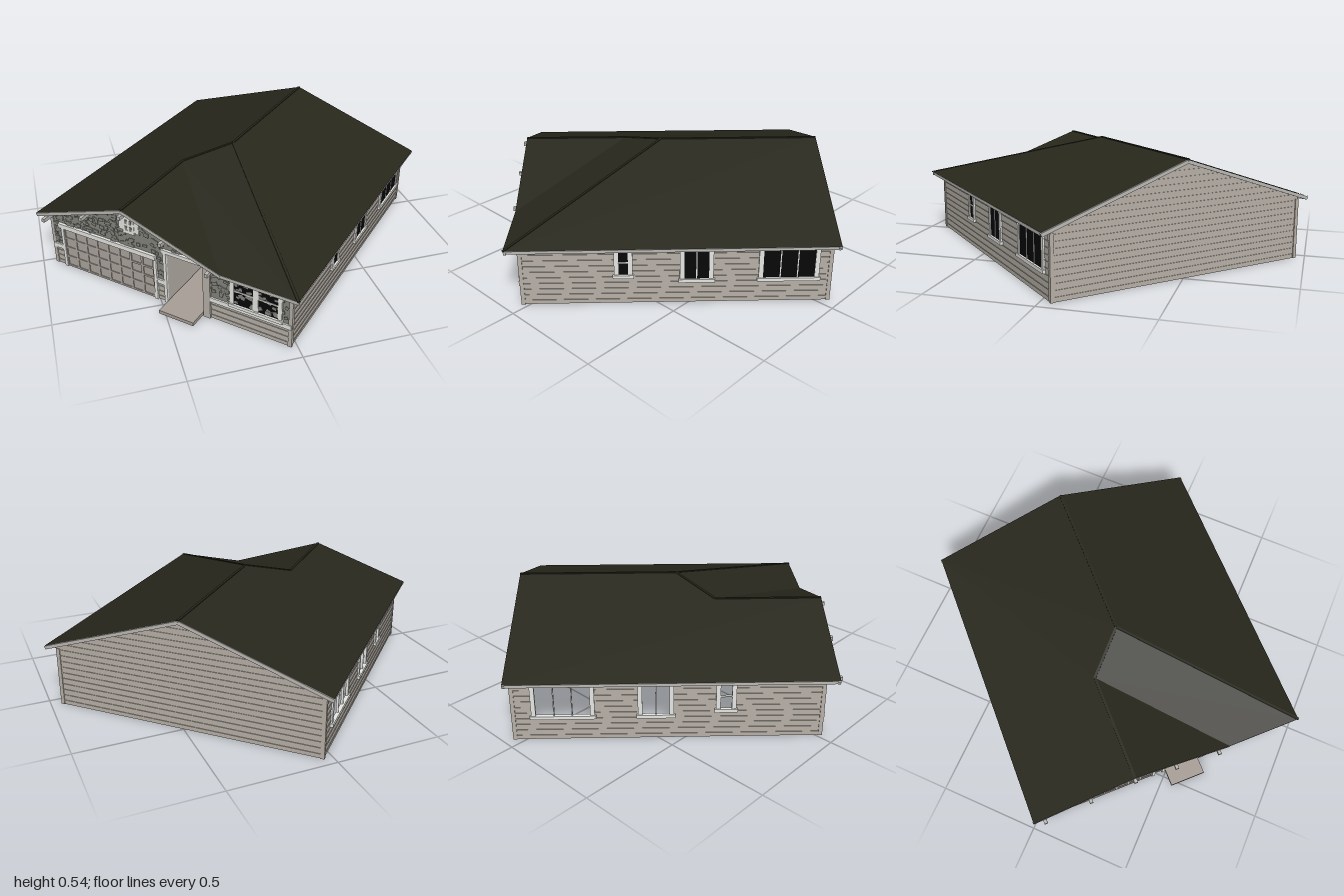
import * as THREE from 'three';
import { mergeGeometries } from 'three/addons/utils/BufferGeometryUtils.js';

const mat = (name, color, double) => {
  const m = new THREE.MeshStandardMaterial({ color });
  m.name = name;
  if (double) m.side = THREE.DoubleSide;
  return m;
};

const XL = -0.645, XR = 0.635, ZB = -0.705, ZF = 0.675;      // wall planes
const RX = 0.684, RZ = 0.73;                                 // roof half sizes
const EAVE = 0.303, RIDGE = 0.535, GABLE = 0.472, GX = -0.18; // roof heights, front gable axis

export function createModel() {
  const M = {
    roof: mat('dark shingle', 0x28271c, true),
    siding: mat('warm grey siding', 0xb8b1a8, true),
    stone: mat('grey stone', 0x85857e, true),
    fascia: mat('light grey fascia', 0xbdbab6),
    trim: mat('white trim', 0xf0f0ed),
    door: mat('taupe door', 0xaea69f),
    glass: mat('black glass', 0x070708),
    concrete: mat('concrete', 0xa89f97),
  };
  const house = new THREE.Group();
  house.name = 'house';
  house.rotation.y = -Math.PI / 4;

  const add = (parent, name, geo, m) => {
    const mesh = new THREE.Mesh(geo, m);
    mesh.name = name;
    parent.add(mesh);
    return mesh;
  };
  // box given by its minimum and maximum corners
  const box = (x0, x1, y0, y1, z0, z1) =>
    new THREE.BoxGeometry(x1 - x0, y1 - y0, z1 - z0).translate((x0 + x1) / 2, (y0 + y1) / 2, (z0 + z1) / 2);
  const poly = (pts, holes = []) => {
    const s = new THREE.Shape(pts.map(p => new THREE.Vector2(...p)));
    for (const [x0, x1, y0, y1] of holes)
      s.holes.push(new THREE.Path([[x0, y0], [x0, y1], [x1, y1], [x1, y0]].map(p => new THREE.Vector2(...p))));
    return new THREE.ShapeGeometry(s);
  };
  const side = (name, x, z, turn) => {
    const g = new THREE.Group();
    g.name = name;
    g.position.set(x, 0, z);
    g.rotation.y = turn;
    house.add(g);
    return g;
  };
  const front = side('frontSide', 0, ZF, 0), back = side('backSide', 0, ZB, Math.PI);
  const right = side('plainSide', XR, 0, Math.PI / 2), left = side('garageSide', XL, 0, -Math.PI / 2);

  // roof planes
  const roofFace = (name, pts) => {
    const g = new THREE.BufferGeometry();
    const flat = [];
    for (let i = 1; i < pts.length - 1; i++) flat.push(...pts[0], ...pts[i], ...pts[i + 1]);
    g.setAttribute('position', new THREE.Float32BufferAttribute(flat, 3));
    g.computeVertexNormals();
    add(house, name, g, M.roof);
  };
  const ridgeBack = [0, RIDGE, -RZ], ridgeFront = [0, RIDGE, 0.04];
  const gableIn = [GX, GABLE, 0.22], gableOut = [GX, GABLE, RZ];
  const valley = [0.318, EAVE, RZ], cornerF = [RX, EAVE, RZ], cornerB = [RX, EAVE, -RZ];
  roofFace('leftRoofSlope', [[-RX, EAVE, -RZ], [-RX, EAVE, RZ], gableOut, gableIn, ridgeFront, ridgeBack]);
  roofFace('rightRoofSlope', [ridgeBack, ridgeFront, cornerF, cornerB]);
  roofFace('frontHip', [gableIn, valley, cornerF, ridgeFront]);
  roofFace('gableRightSlope', [gableIn, gableOut, valley]);

  // ridge caps
  for (const [p, q] of [[ridgeBack, ridgeFront], [ridgeFront, cornerF], [ridgeFront, gableIn], [gableIn, gableOut]]) {
    const a = new THREE.Vector3(...p), b = new THREE.Vector3(...q);
    const cap = add(house, 'ridgeCap', new THREE.BoxGeometry(.012, .004, a.distanceTo(b)), M.roof);
    cap.position.copy(a).lerp(b, .5);
    cap.rotation.order = 'YXZ';
    const d = b.sub(a).normalize();
    cap.rotation.set(-Math.asin(d.y), Math.atan2(d.x, d.z), 0);
  }

  // soffit and ceiling, left open above the garage
  add(house, 'soffit', poly([[-RX + .01, ZB], [RX - .01, ZB], [RX - .01, RZ - .01], [.32, RZ - .01],
    [.27, ZF], [-.08, ZF], [-.08, .36], [-.2, .27], [XL, -.23], [XL, RZ - .01], [-RX + .01, RZ - .01]])
    .rotateX(Math.PI / 2).translate(0, 0.288, 0), M.siding);

  // fascia and rake boards
  const board = (name, x0, y0, x1, y1, z) => {
    const len = Math.hypot(x1 - x0, y1 - y0);
    const b = add(house, name, new THREE.BoxGeometry(len, 0.016, 0.012), M.fascia);
    b.position.set((x0 + x1) / 2, (y0 + y1) / 2 - 0.011, z);
    b.rotation.z = Math.atan2(y1 - y0, x1 - x0);
  };
  board('gableRake', -RX, EAVE, GX, GABLE, RZ - .006);
  board('gableRake', GX, GABLE, 0.318, EAVE, RZ - .006);
  board('frontFascia', 0.318, EAVE, RX, EAVE, RZ - .008);
  board('backRake', -RX, EAVE, 0, RIDGE, -RZ + .006);
  board('backRake', 0, RIDGE, RX, EAVE, -RZ + .006);
  for (const s of [-1, 1])
    add(house, 'sideFascia', box(s * (RX - .008) - .005, s * (RX - .008) + .005, .286, .3, -RZ + .01, RZ - .01), M.fascia);
  for (const x of [-0.63, -0.4, GX, 0.03, 0.26]) {
    const y = GABLE - Math.abs(x - GX) * 0.343 - 0.03;
    add(front, 'gableBracket', box(x - .008, x + .008, y - .012, y + .006, 0, .073), M.fascia);
  }

  // lap siding ledges from lo(y) to hi(y), interrupted at openings
  const courses = (parent, top, lo, hi, gaps = []) => {
    const parts = [];
    for (let y = 0.02; y < top; y += 0.029) {
      let s = lo(y);
      const stops = gaps.filter(g => y > g[2] && y < g[3]).sort((a, b) => a[0] - b[0]);
      for (const g of [...stops, [hi(y)]]) {
        if (g[0] > s) parts.push(box(s, g[0], y, y + .002, 0, .003));
        s = g[1];
      }
    }
    add(parent, 'sidingLedges', mergeGeometries(parts), M.siding);
  };

  // framed window; glazed ones get a thin dark pane
  const addWindow = (parent, [x0, x1, y0, y1], panes, rail, glazed, bar = 0.005) => {
    const b = 0.02, parts = [
      box(x0 - b, x0, y0, y1, -.004, .008), box(x1, x1 + b, y0, y1, -.004, .008),
      box(x0 - b, x1 + b, y1, y1 + .015, -.004, .008), box(x0 - b - .006, x1 + b + .006, y0 - .016, y0, -.004, .014)];
    for (let i = 1; i < panes; i++) {
      const x = x0 + (x1 - x0) * i / panes;
      parts.push(box(x - bar / 2, x + bar / 2, y0, y1, -.004, .007));
    }
    if (rail) parts.push(box(x0, x1, (y0 + y1) / 2 - .003, (y0 + y1) / 2 + .003, -.004, .007));
    add(parent, 'windowFrame', mergeGeometries(parts), M.trim);
    if (glazed) add(parent, 'windowGlass', box(x0, x1, y0, y1, -.002, .004), M.glass);
  };

  // side walls, the garage side having open windows
  const rightWin = [[-.24, -.198, .15, .275], [.05, .16, .125, .275], [.4, .63, .125, .275]];
  const leftWin = [[.215, .265, .15, .275], [-.13, -.01, .125, .275], [-.6, -.36, .125, .275]];
  for (const [g, wins, glazed, s0, s1] of [[right, rightWin, true, -ZF, -ZB], [left, leftWin, false, ZB, ZF]]) {
    add(g, 'sideWall', poly([[s0, 0], [s1, 0], [s1, .312], [s0, .312]], wins), M.siding);
    courses(g, 0.28, () => s0, () => s1, wins);
    wins.forEach((w, i) => addWindow(g, w, i + 1, i === 0, glazed));
  }

  // back gable wall
  add(back, 'backWall', poly([[-XR, 0], [-XL, 0], [-XL, .312], [0, .528], [-XR, .312]]), M.siding);
  const slope = y => (0.528 - y) / 0.34;
  courses(back, 0.52, y => -Math.min(XR, slope(y)), y => Math.min(-XL, slope(y)));

  // front wall: siding base, stone above, openings for porch and garage
  const P0 = 0.015, P1 = 0.205, PT = 0.283, PB = -0.33;
  const D0 = -0.57, D1 = -0.055, DT = 0.222;
  for (const [a, b] of [[XL, D0], [D1, P0], [P1, XR]]) {
    add(front, 'frontBase', poly([[a, 0], [b, 0], [b, .1], [a, .1]]), M.siding);
    add(front, 'baseCap', box(a, b, .096, .119, 0, .008), M.trim);
  }
  courses(front, 0.09, () => XL, () => XR, [[D0, D1, 0, DT], [P0, P1, 0, PT]]);
  add(front, 'stoneFront', poly([[XL, .1], [D0, .1], [D0, DT], [D1, DT], [D1, .1], [P0, .1], [P0, PT], [P1, PT],
    [P1, .1], [XR, .1], [XR, .312], [.28, .312], [GX, .468], [XL, .312]]), M.stone);

  // small raised stones scattered over the stone wall
  let seed = 7;
  const rnd = () => (seed = (seed * 16807) % 2147483647) / 2147483647;
  const stones = [];
  for (let i = 0; i < 700; i++) {
    const x = XL + .02 + rnd() * (XR - XL - .04), y = .13 + rnd() * .32;
    const w = .014 + rnd() * .016, h = .01 + rnd() * .01;
    const top = Math.max(0.285, GABLE - Math.abs(x - GX) * 0.343 - .03);
    if (y + h > top || (x > P0 - .02 && x < P1 + .02 && y < PT) || (x > D0 - .02 && x < D1 + .02 && y < DT)) continue;
    stones.push(new THREE.BoxGeometry(w, h, .003).rotateZ(rnd() - .5).translate(x, y + h / 2, .002 + rnd() * .002));
  }
  add(front, 'raisedStones', mergeGeometries(stones), M.stone);

  // garage door, panelled on both faces
  add(front, 'garageDoor', box(D0, D1, .005, DT, -.006, .002), M.door);
  const grid = (w, h, z0, z1) => {
    const parts = [];
    for (let i = 0; i <= 8; i++) {
      const x = D0 + (D1 - D0) * i / 8;
      parts.push(box(x - w, x + w, .005, DT, z0, z1));
    }
    for (let i = 0; i <= 4; i++) {
      const y = .008 + (DT - .01) * i / 4;
      parts.push(box(D0, D1, y - h, y + h, z0, z1));
    }
    return mergeGeometries(parts);
  };
  add(front, 'garageDoorRails', grid(.006, .005, 0, .006), M.door);
  add(front, 'garageDoorFraming', grid(.006, .005, -.009, -.005), M.stone);
  add(front, 'garageTrim', mergeGeometries([box(D0 - .028, D1 + .012, DT, DT + .024, -.006, .014),
    box(D0 - .016, D0, 0, DT, -.006, .01), box(D1, D1 + .016, 0, DT, -.006, .01)]), M.trim);

  // gable vent with shutters, seen on both faces of the wall
  const vent = [box(GX - .03, GX + .03, .318, .408, -.006, .008)];
  for (const s of [-1, 1]) vent.push(box(GX + s * .042 - .012, GX + s * .042 + .012, .332, .395, -.006, .006));
  add(front, 'gableVent', mergeGeometries(vent), M.trim);
  for (const s of [-1, 1])
    for (const y of [.336, .37])
      add(front, 'ventPane', box(GX + s * .012 - .006, GX + s * .012 + .006, y, y + .022, .007, .01), M.stone);

  // front window
  addWindow(front, [.36, .57, .13, .272], 2, true, true, .026);

  // recessed porch, entry door and stoop
  for (const x of [P0, P1])
    add(front, 'porchSide', poly([[0, 0], [-PB, 0], [-PB, PT], [0, PT]])
      .rotateY(Math.PI / 2).translate(x, 0, 0), M.siding);
  add(front, 'porchBack', poly([[-.1, .02], [.235, .02], [.235, PT], [-.1, PT]]).translate(0, 0, PB), M.stone);
  add(front, 'porchCeiling', box(P0, P1, PT, PT + .004, PB, 0), M.stone);
  add(front, 'entryFrame', box(.07, .18, .02, .25, PB - .004, PB + .008), M.trim);
  add(front, 'entryDoor', box(.08, .17, .02, .24, PB - .008, PB + .012), M.door);
  add(front, 'stoop', box(P0 + .005, P1 - .005, 0, .018, PB, .09), M.concrete);
  add(front, 'porchHeader', box(P0 - .025, P1 + .04, PT - .006, PT + .012, -.004, .012), M.trim);
  add(front, 'porchPost', box(P1, P1 + .036, 0, PT, -.004, .01), M.siding);
  add(front, 'porchPost', box(P0 - .016, P0, 0, PT, -.004, .01), M.trim);

  // corner boards
  for (const x of [XL + .005, XR - .005])
    for (const z of [ZB + .005, ZF - .005])
      add(house, 'cornerBoard', new THREE.BoxGeometry(.018, .288, .018).translate(x, .144, z), M.siding);

  const model = new THREE.Group();
  model.name = 'bungalow';
  model.add(house);
  return model;
}
